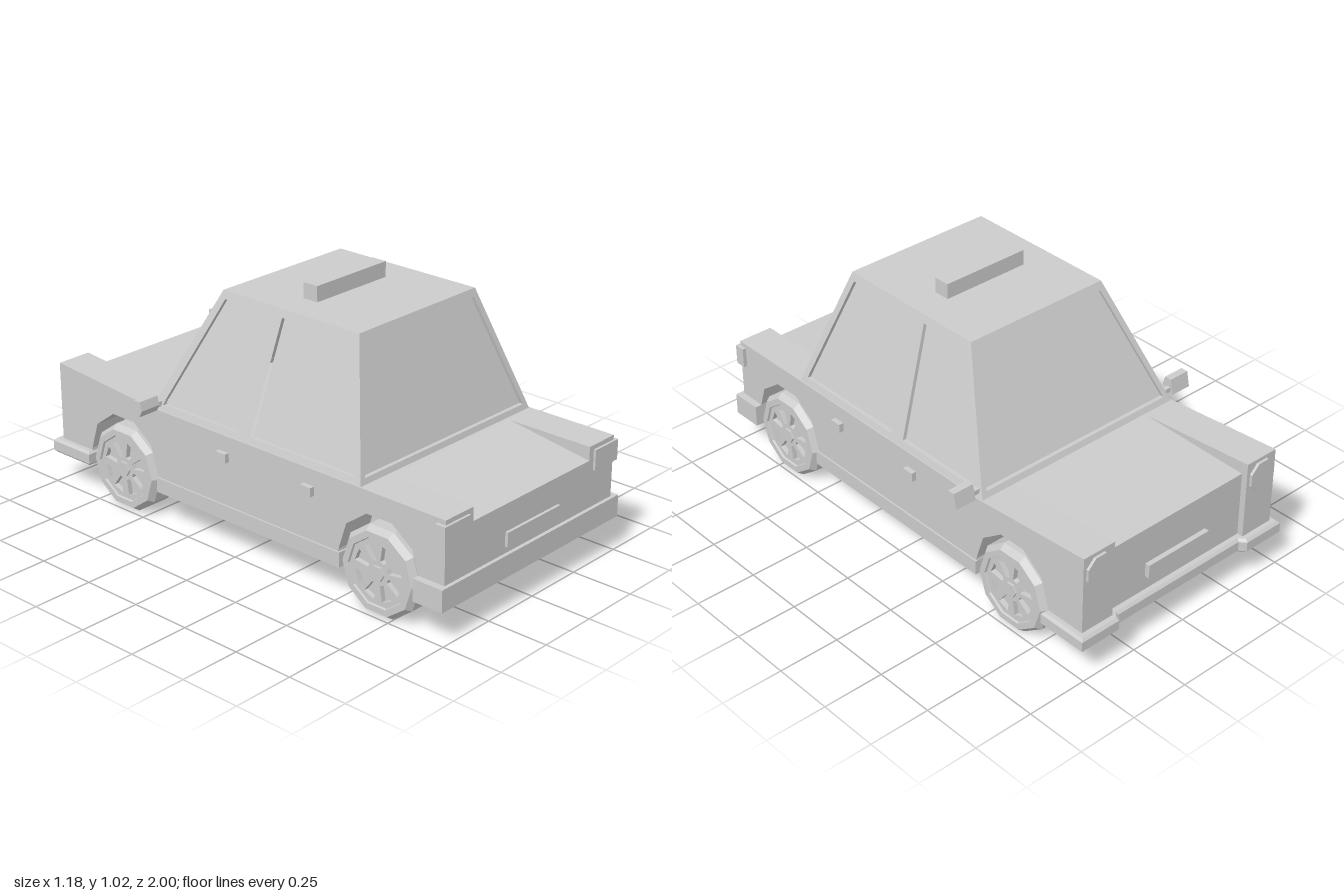
import * as THREE from 'three';

const mat = new THREE.MeshStandardMaterial({ color: 0xcccccc, flatShading: true });
const glassMat = new THREE.MeshStandardMaterial({ color: 0xcccccc, flatShading: true, side: THREE.DoubleSide });

export function createModel() {
  const car = new THREE.Group();
  car.name = 'car';

  const add = (name, geo, parent = car, m = mat) => {
    const mesh = new THREE.Mesh(geo, m);
    mesh.name = name;
    parent.add(mesh);
    return mesh;
  };
  // Box given by its extents on each axis
  const box = (name, x0, x1, y0, y1, z0, z1, parent) =>
    add(name, new THREE.BoxGeometry(x1 - x0, y1 - y0, z1 - z0)
      .translate((x0 + x1) / 2, (y0 + y1) / 2, (z0 + z1) / 2), parent);
  const toShape = pts => new THREE.Shape(pts.map(p => new THREE.Vector2(p[0], p[1])));
  // Side profile of [z, y] points, extruded across x
  const extrudeX = (pts, x0, x1) =>
    new THREE.ExtrudeGeometry(toShape(pts.map(([z, y]) => [-z, y])), { depth: x1 - x0, bevelEnabled: false })
      .rotateY(Math.PI / 2).translate(x0, 0, 0);

  const REAR = 0.69, FRONT = -0.61, FLOOR = 0.13, BELT = 0.47, ROOF = 0.955;

  // Lower body: a centre slab with a sloping boot and a low bonnet
  add('bodyCentre', extrudeX([
    [0.985, FLOOR], [0.985, 0.415], [0.62, BELT], [-0.5, BELT], [-0.945, 0.46], [-0.945, FLOOR],
  ], -0.335, 0.335));

  // Outer slabs carry the wheel arches and the raised front wings
  const arch = zc => {
    const pts = [[zc - 0.185, FLOOR]];
    for (let i = 0; i <= 5; i++) {
      const a = Math.PI - i * Math.PI / 5;
      pts.push([zc + 0.188 * Math.cos(a), 0.2 + 0.19 * Math.sin(a)]);
    }
    pts.push([zc + 0.185, FLOOR]);
    return pts;
  };
  const sidePts = [
    [-0.97, FLOOR], ...arch(FRONT), ...arch(REAR), [0.985, FLOOR],
    [0.985, BELT], [-0.45, BELT], [-0.97, 0.512],
  ];
  for (const s of [-1, 1]) {
    const span = (a, b) => (s > 0 ? [a, b] : [-b, -a]);
    const side = new THREE.Group();
    side.name = s > 0 ? 'leftSide' : 'rightSide';
    car.add(side);
    add('sidePanel', extrudeX(sidePts, ...span(0.335, 0.483)), side);
    box('sill', ...span(0.4, 0.49), FLOOR, 0.19, -0.425, 0.51, side);
    for (const z of [0.36, -0.065]) box('doorHandle', ...span(0.47, 0.503), 0.37, 0.406, z - 0.025, z + 0.025, side);
    box('tailLight', ...span(0.36, 0.498), 0.37, 0.452, 0.95, 0.995, side);
    // Octagonal headlight on the wing end
    add('headlight', new THREE.CylinderGeometry(0.065, 0.065, 0.03, 8)
      .rotateY(Math.PI / 8).rotateX(Math.PI / 2).translate(s * 0.41, 0.437, -0.966), side);
    // Wing mirror with a short arm
    add('mirror', extrudeX([
      [-0.385, 0.505], [-0.395, 0.54], [-0.425, 0.54], [-0.438, 0.478], [-0.4, 0.478],
    ], ...span(0.5, 0.59)), side);
    box('mirrorArm', ...span(0.45, 0.51), 0.485, 0.505, -0.425, -0.405, side);
  }

  // Bumpers and number plates
  box('rearBumper', -0.512, 0.512, 0.135, 0.223, 0.87, 1);
  const bumper = new THREE.ExtrudeGeometry(toShape([
    [-0.5, 0.8], [0.5, 0.8], [0.5, 0.99], [0.335, 0.99], [0.315, 0.965],
    [-0.315, 0.965], [-0.335, 0.99], [-0.5, 0.99],
  ]), { depth: 0.04, bevelThickness: 0.01, bevelSize: 0.01, bevelSegments: 1 });
  add('frontBumper', bumper.rotateX(-Math.PI / 2).translate(0, 0.14, 0));
  box('rearPlate', -0.152, 0.152, 0.25, 0.307, 0.97, 0.997);
  box('frontPlate', -0.152, 0.152, 0.25, 0.307, -0.965, -0.93);

  // Cabin: four leaning frames with recessed glass
  const cabin = new THREE.Group();
  cabin.name = 'cabin';
  car.add(cabin);
  const THICK = 0.018;
  const leanPanel = (name, outline, windows, base, top, angle) => {
    const lean = (geo, offset) => {
      const p = geo.attributes.position;
      for (let i = 0; i < p.count; i++) {
        const t = (p.getY(i) - BELT) / (ROOF - BELT);
        p.setZ(i, base + (top - base) * t + p.getZ(i) + offset);
      }
      geo.rotateY(angle).computeVertexNormals();
      return geo;
    };
    const shape = toShape(outline);
    shape.holes = windows.map(w => new THREE.Path(w.map(q => new THREE.Vector2(...q))));
    add(name + 'Frame', lean(new THREE.ExtrudeGeometry(shape, { depth: THICK, bevelEnabled: false }), -THICK), cabin);
    for (const w of windows) add(name + 'Glass', lean(new THREE.ShapeGeometry(toShape(w)), -THICK + 0.002), cabin, glassMat);
  };
  const endOutline = [[-0.478, BELT], [0.478, BELT], [0.32, ROOF], [-0.32, ROOF]];
  const endWindow = [[-0.448, 0.492], [0.448, 0.492], [0.304, 0.925], [-0.304, 0.925]];
  leanPanel('rearWindow', endOutline, [endWindow], 0.6, 0.45, 0);
  leanPanel('windscreen', endOutline, [endWindow], 0.45, 0.215, Math.PI);
  const sideOutline = [[0.6, BELT], [-0.45, BELT], [-0.215, ROOF], [0.45, ROOF]];
  const sideWindows = [
    [[0.565, 0.494], [0.06, 0.494], [0.09, 0.925], [0.43, 0.925]],
    [[-0.003, 0.494], [-0.398, 0.494], [-0.197, 0.925], [0.03, 0.925]],
  ];
  for (const s of [-1, 1]) {
    const flip = pts => pts.map(([z, y]) => [-s * z, y]);
    leanPanel(s > 0 ? 'leftDoor' : 'rightDoor', flip(sideOutline), sideWindows.map(flip), 0.478, 0.32, s * Math.PI / 2);
  }
  box('roof', -0.32, 0.32, ROOF - 0.02, ROOF, -0.215, 0.45, cabin);
  box('roofSign', -0.188, 0.188, ROOF - 0.01, 1.017, 0.063, 0.13);

  // Wheels: ten-sided tyre, dished back plate, spoked rim and hub; axis along x, outside at +x
  const polar = (r, a) => [r * Math.cos(a), r * Math.sin(a)];
  const rimShape = toShape(Array.from({ length: 10 }, (_, i) => polar(0.132, i * Math.PI / 5)));
  for (let i = 0; i < 8; i++) {
    const a = (i + 0.5) * Math.PI / 4;
    rimShape.holes.push(new THREE.Path(
      [[0.048, -0.2], [0.11, -0.23], [0.11, 0.23], [0.048, 0.2]].map(([r, d]) => new THREE.Vector2(...polar(r, a + d)))));
  }
  const tyreProfile = [[0, 0.33], [0.178, 0.33], [0.178, 0.468], [0.16, 0.493], [0.135, 0.493], [0.125, 0.465], [0, 0.465]]
    .map(p => new THREE.Vector2(...p));
  for (const s of [-1, 1]) for (const z of [REAR, FRONT]) {
    const wheel = new THREE.Group();
    wheel.name = (z > 0 ? 'rear' : 'front') + (s > 0 ? 'Left' : 'Right') + 'Wheel';
    add('tyre', new THREE.LatheGeometry(tyreProfile, 10).rotateZ(-Math.PI / 2), wheel);
    add('rim', new THREE.ExtrudeGeometry(rimShape, { depth: 0.022, bevelEnabled: false })
      .rotateY(Math.PI / 2).translate(0.463, 0, 0), wheel);
    add('hub', new THREE.CylinderGeometry(0.03, 0.034, 0.03, 6).rotateZ(-Math.PI / 2).translate(0.477, 0, 0), wheel);
    wheel.position.set(0, 0.17, z);
    if (s < 0) wheel.rotation.y = Math.PI;
    car.add(wheel);
  }
  return car;
}
